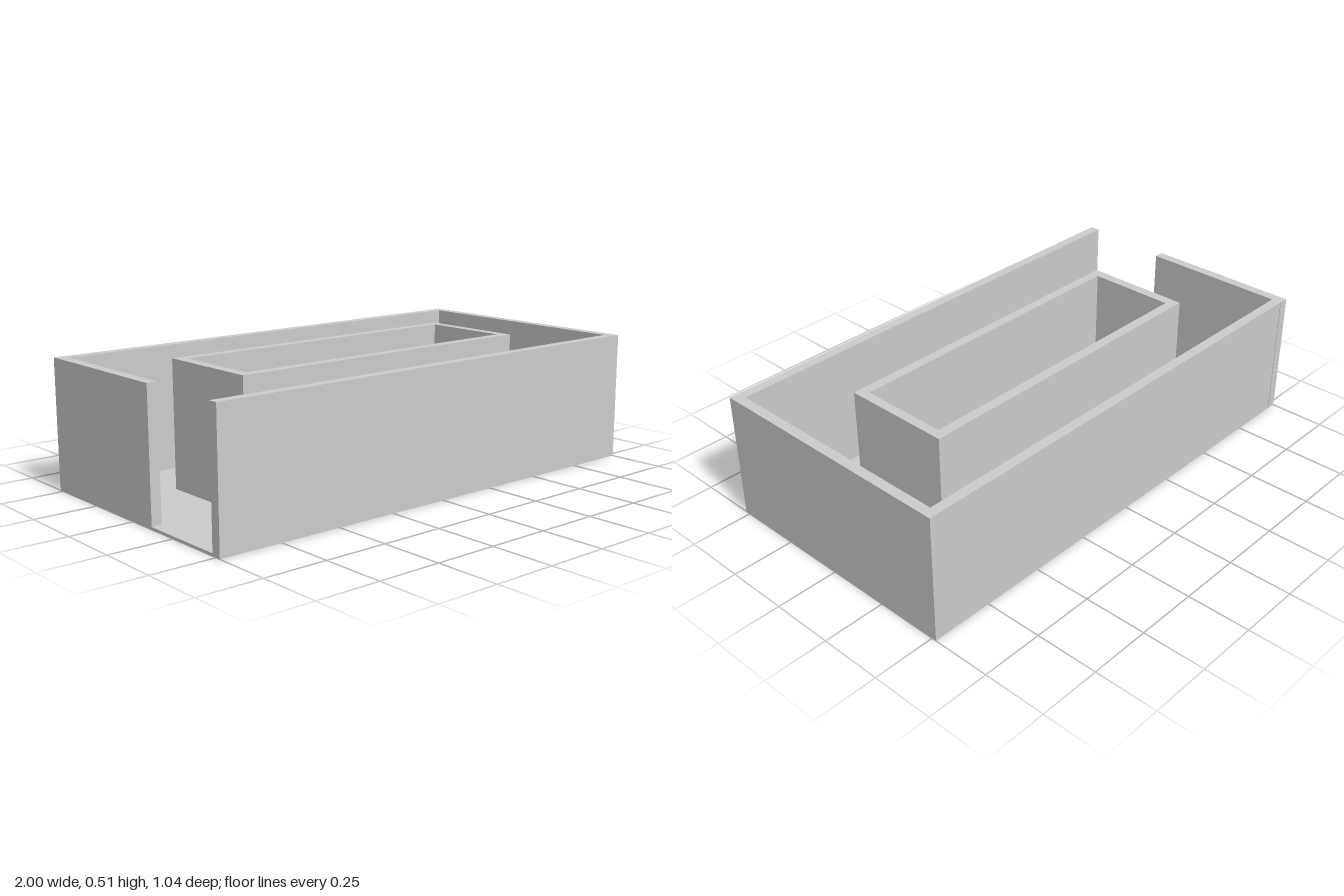
import * as THREE from 'three';

const HEIGHT = 0.51, FLOOR = 0.01;

// Traces a closed polygon of [x, z] corners; z is negated for the lay-flat rotation.
const trace = (path, pts) => path.setFromPoints(pts.map(([x, z]) => new THREE.Vector2(x, -z)));
// Counter-clockwise rectangle, so that the extruded sides of outlines and holes face outward.
const rect = (x0, z0, x1, z1) => [[x0, z1], [x1, z1], [x1, z0], [x0, z0]];

export function createModel() {
  const group = new THREE.Group();
  const material = new THREE.MeshStandardMaterial({ color: 0xcccccc, flatShading: true });

  // Extrudes a plan outline upward from y0 to y1.
  const slab = (name, outline, hole, y0, y1) => {
    const shape = trace(new THREE.Shape(), outline);
    if (hole) shape.holes.push(trace(new THREE.Path(), hole));
    const geometry = new THREE.ExtrudeGeometry(shape, { depth: y1 - y0, bevelEnabled: false });
    geometry.rotateX(-Math.PI / 2).translate(0, y0, 0);
    const mesh = new THREE.Mesh(geometry, material);
    mesh.name = name;
    group.add(mesh);
  };

  const opening = rect(-0.638, -0.179, 0.637, 0.181);

  // Thin floor with the central opening
  slab('floor', rect(-1, -0.519, 1, 0.521), opening, 0, FLOOR);

  // Outer wall: front, one end and back
  slab('outerWall', [
    [-1, 0.521], [1, 0.521], [1, -0.519], [-0.96, -0.519],
    [-0.96, -0.479], [0.96, -0.479], [0.96, 0.481], [-1, 0.481],
  ], null, FLOOR, HEIGHT);

  // Short end wall that leaves a gap, standing slightly proud at the back
  slab('endWall', rect(-1, -0.521, -0.96, 0.12), null, FLOOR, HEIGHT);

  // Inner wall around the opening
  slab('innerWall', rect(-0.679, -0.22, 0.675, 0.221), opening, FLOOR, HEIGHT);

  return group;
}
